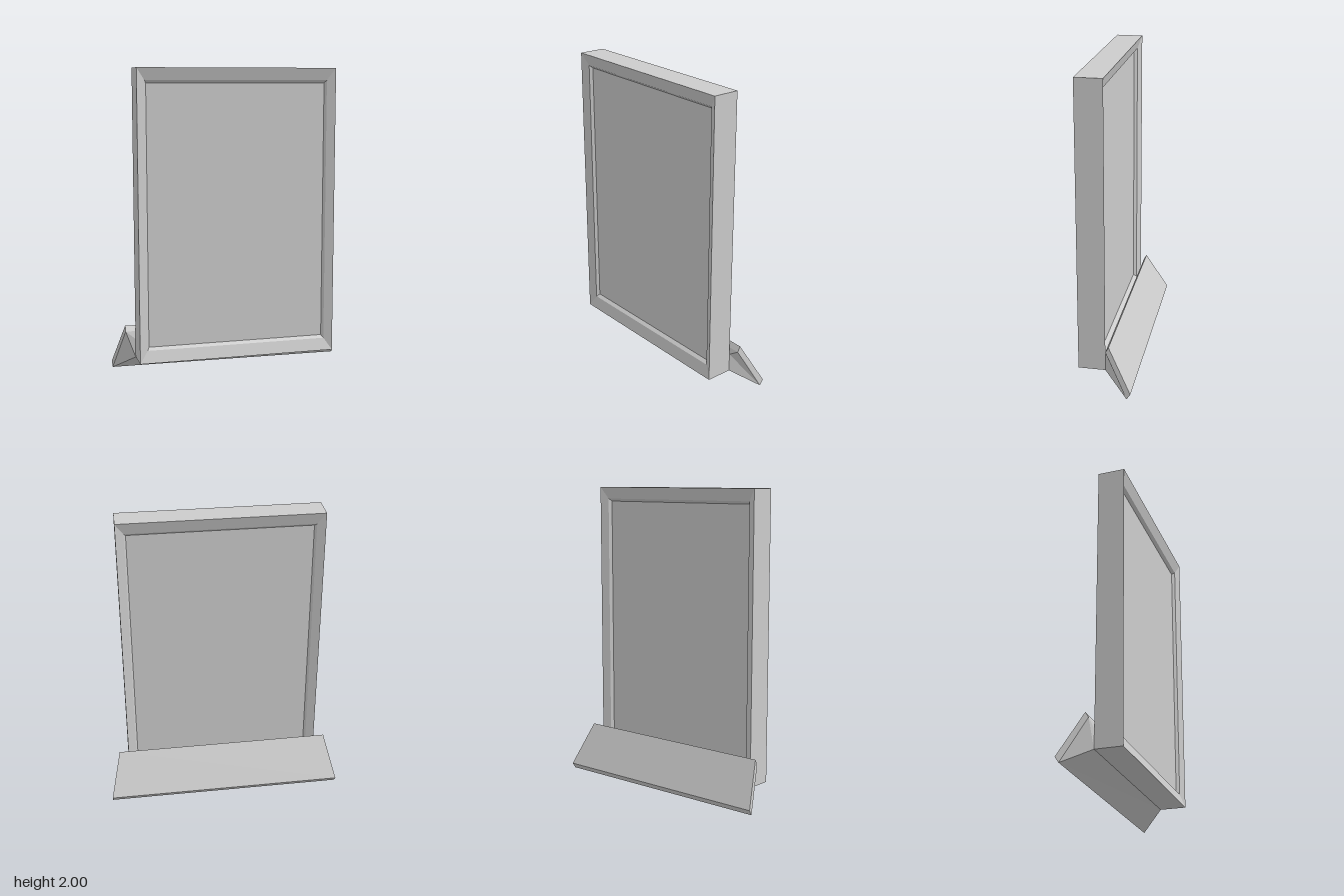
import * as THREE from 'three';

const material = new THREE.MeshStandardMaterial({ color: 0xcccccc, flatShading: true });

// Four-cornered loop, counter-clockwise as seen from +z
const rect = (x, y0, y1, z) => [[-x, y0, z], [x, y0, z], [x, y1, z], [-x, y1, z]];

// Join successive four-cornered loops with quads, optionally closing the last one
function loft(name, loops, capEnd) {
  const pos = [];
  const tri = (...corners) => corners.forEach((c) => pos.push(...c));
  for (let k = 0; k < loops.length - 1; k++) {
    const a = loops[k], b = loops[k + 1];
    for (let i = 0; i < 4; i++) {
      const j = (i + 1) % 4;
      tri(a[i], b[i], a[j]);
      tri(a[j], b[i], b[j]);
    }
  }
  if (capEnd) {
    const e = loops[loops.length - 1];
    tri(e[0], e[2], e[1]);
    tri(e[0], e[3], e[2]);
  }
  const geometry = new THREE.BufferGeometry();
  geometry.setAttribute('position', new THREE.Float32BufferAttribute(pos, 3));
  geometry.computeVertexNormals();
  const mesh = new THREE.Mesh(geometry, material);
  mesh.name = name;
  return mesh;
}

export function createModel() {
  const group = new THREE.Group();
  group.name = 'standingFrame';
  const front = 0.178, back = 0.003, bottom = 0.118, top = 2;

  // Frame: bevelled inwards on both faces, then a steeper step down to the panel
  const profile = [
    [0.065, front - 0.045], [0.053, front - 0.024], [0, front],
    [0, back], [0.053, back + 0.024], [0.065, back + 0.045],
  ];
  const inset = (d) => d * 1.48; // rails are wider than the stiles
  group.add(loft('frame', profile.map(([d, z]) =>
    rect(0.655 - d, bottom + inset(d), top - inset(d), z))));

  // Flat panel filling the frame
  const d = 0.065;
  const panel = new THREE.Mesh(
    new THREE.BoxGeometry(2 * (0.655 - d), top - bottom - 2 * inset(d), front - back - 0.09), material);
  panel.position.set(0, (top + bottom) / 2, (front + back) / 2);
  panel.name = 'panel';
  group.add(panel);

  // Rear foot: flares from the frame into a leaning slab with a slight roll
  const slab = (xb, yb, zb, xt, yt, zt) =>
    [[-xb, yb, zb], [xb, yb, zb], [xt, yt, zt], [-xt, yt, zt]]
      .map(([x, y, z]) => [x, y - 0.0075 * x, z]);
  const slabFront = slab(0.785, 0.008, -0.157, 0.717, 0.285, -0.01);
  const slabBack = slab(0.787, 0.044, -0.181, 0.717, 0.32, -0.03);
  group.add(loft('footNeck', [rect(0.655, bottom, 0.24, back), slabFront]));
  group.add(loft('footSlab', [slabFront, slabBack], true));

  // Whole piece stands slightly turned
  group.rotation.y = -0.018;
  const model = new THREE.Group();
  model.add(group);
  return model;
}
